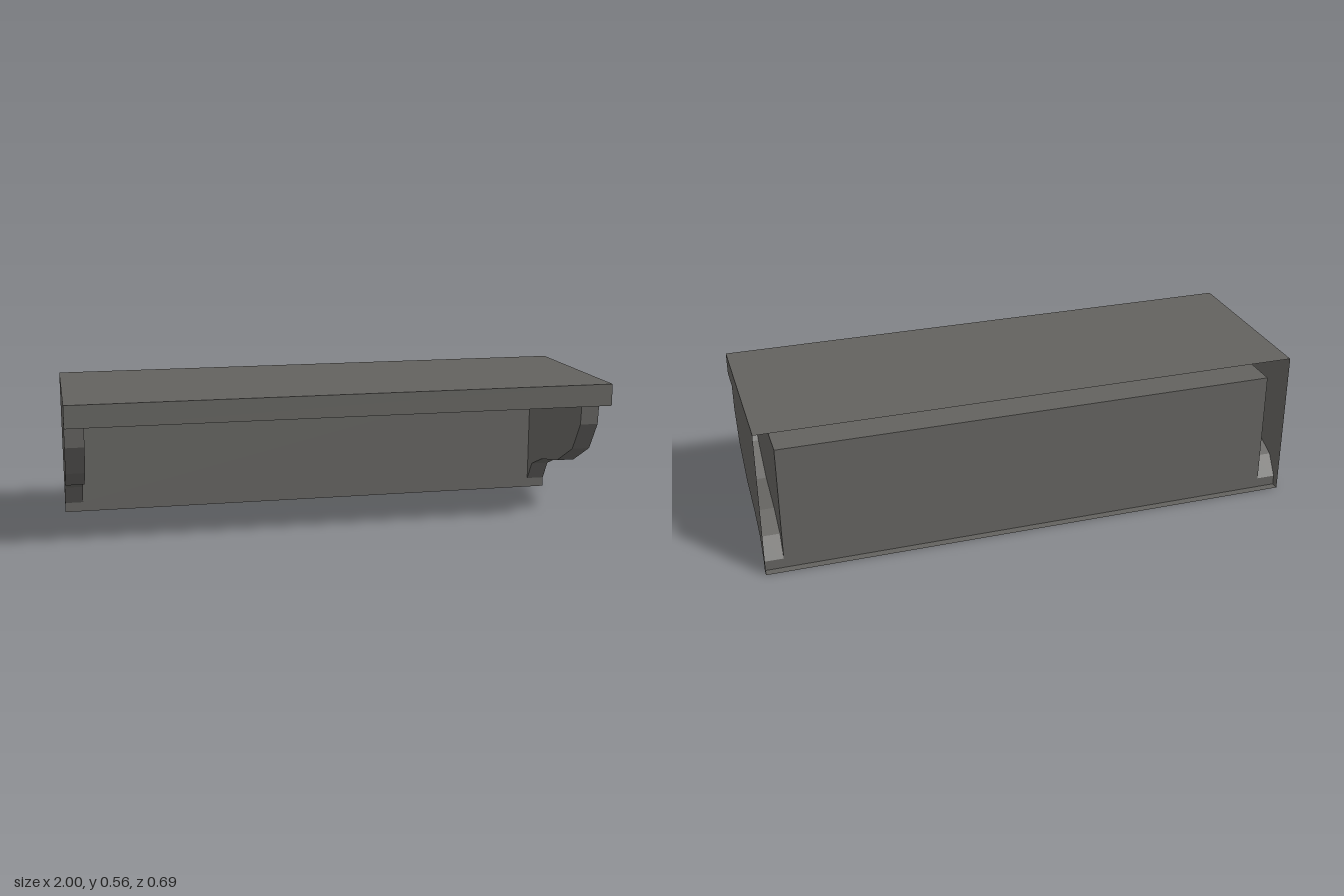
import * as THREE from 'three';

// Profile landmarks as [z, y]
const BACK = -0.345, LIP = -0.315, FRONT = 0.347;
const LIP_TOP = 0.037, UNDER = 0.473, TOP = 0.555;
const END = 1, INNER = 0.93;

// Stepped underside of the brackets, from the wall lip out to the shelf
const bracketCurve = [
  [LIP, LIP_TOP], [-0.267, 0.112], [-0.16, 0.157], [0.008, 0.19],
  [0.158, 0.27], [0.228, 0.38], [0.235, UNDER],
];

// Sweep a [z, y] polyline along x, one flat face per segment
function ribbon(points, x0, x1) {
  const p = [];
  for (let i = 0; i < points.length - 1; i++) {
    const [az, ay] = points[i], [bz, by] = points[i + 1];
    p.push(x0, ay, az, x1, ay, az, x1, by, bz);
    p.push(x0, ay, az, x1, by, bz, x0, by, bz);
  }
  const g = new THREE.BufferGeometry();
  g.setAttribute('position', new THREE.Float32BufferAttribute(p, 3));
  g.computeVertexNormals();
  return g;
}

// Flat [z, y] outline standing at x, facing +x or -x
function cheek(points, x, facing) {
  const shape = new THREE.Shape(points.map(([z, y]) => new THREE.Vector2(-facing * z, y)));
  return new THREE.ShapeGeometry(shape).rotateY(facing * Math.PI / 2).translate(x, 0, 0);
}

export function createModel() {
  const group = new THREE.Group();
  group.name = 'wallShelf';
  const grey = new THREE.MeshStandardMaterial({ color: 0x62615e, side: THREE.DoubleSide });
  grey.name = 'warm grey';

  const add = (name, geometry) => {
    const mesh = new THREE.Mesh(geometry, grey);
    mesh.name = name;
    group.add(mesh);
  };

  // Hollow shelf board, open at the back
  add('shelfBoard', ribbon([[0.235, UNDER], [FRONT, UNDER], [FRONT, TOP], [BACK, TOP]], -END, END));

  // Recessed panel between the brackets and the shelf underside above it
  add('backPanel', ribbon([[LIP, LIP_TOP], [LIP, UNDER], [0.235, UNDER]], -INNER, INNER));

  // Narrow lip along the bottom
  add('bottomLip', ribbon([[BACK, 0], [LIP, 0], [LIP, LIP_TOP]], -END, END));

  // Hollow brackets: outer end, stepped underside and inner wall
  const endOutline = [[BACK, 0], [LIP, 0], ...bracketCurve, [FRONT, UNDER], [FRONT, TOP], [BACK, TOP]];
  const innerOutline = [...bracketCurve, [LIP, UNDER]];
  for (const side of [-1, 1]) {
    const label = side > 0 ? 'left' : 'right';
    add(label + 'End', cheek(endOutline, side * END, side));
    add(label + 'BracketInnerWall', cheek(innerOutline, side * INNER, -side));
    add(label + 'BracketUnderside',
      ribbon(bracketCurve, side > 0 ? INNER : -END, side > 0 ? END : -INNER));
  }
  return group;
}
